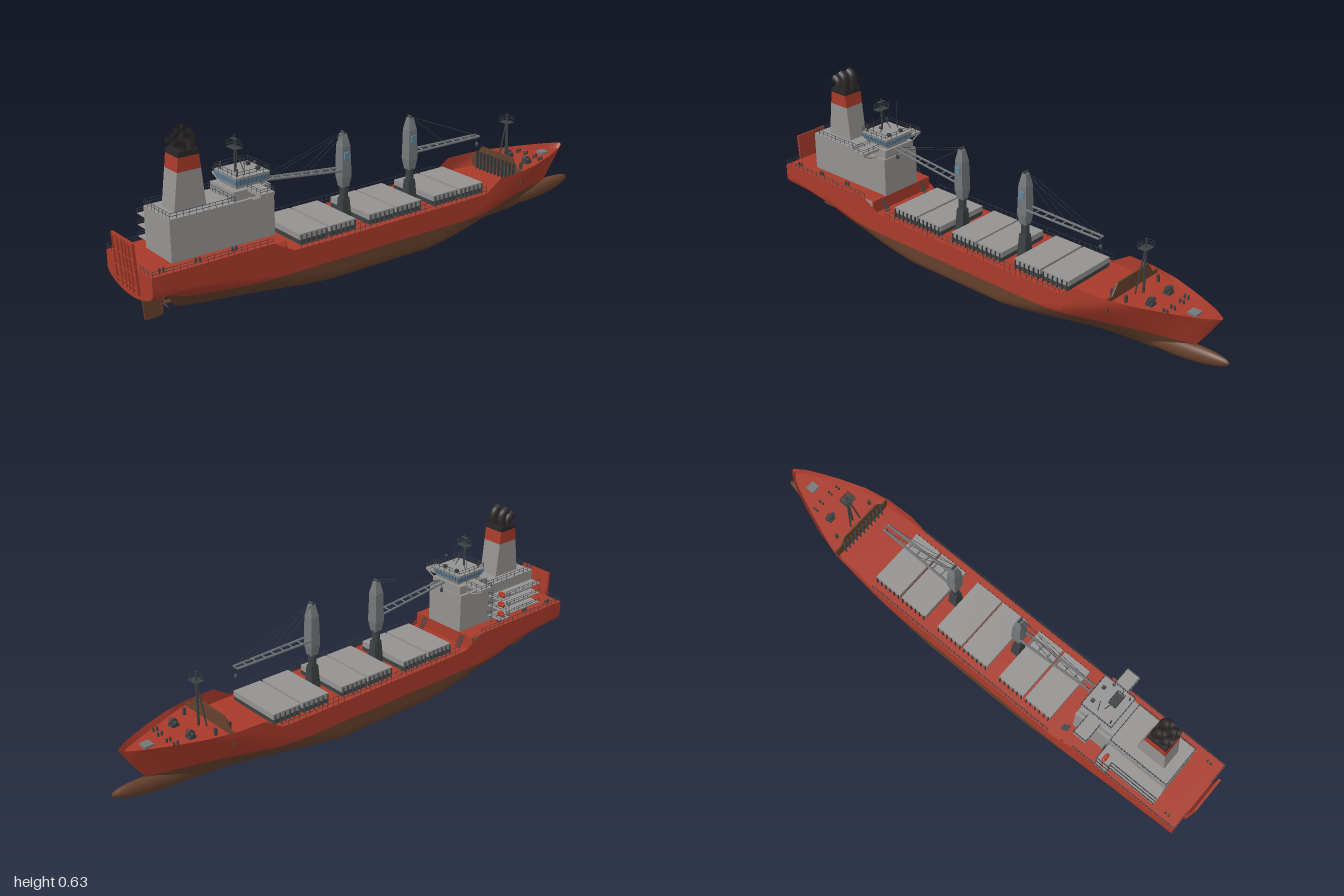
import * as THREE from 'three';
import { mergeGeometries } from 'three/addons/utils/BufferGeometryUtils.js';

const mat = (name, color, side = THREE.FrontSide) => {
  const m = new THREE.MeshStandardMaterial({ color, side });
  m.name = name;
  return m;
};
const V = (x, y, z) => new THREE.Vector3(x, y, z);

// hull stations, stern to bow: z, keel, sheer, half beam, knee height, fullness
const ST = [
  [0.98, 0.105, 0.215, 0.149, 0.155, 1.8], [0.9, 0.09, 0.215, 0.15, 0.145, 1.35],
  [0.86, 0.07, 0.215, 0.15, 0.14, 1.1], [0.82, 0.02, 0.215, 0.15, 0.135, 1.0],
  [0.72, 0.003, 0.215, 0.15, 0.125, 1.15], [0.53, 0.0, 0.215, 0.15, 0.095, 1.7],
  [0.45, 0.0, 0.17, 0.15, 0.08, 2.1], [0.28, 0.0, 0.168, 0.15, 0.055, 3.2],
  [-0.15, 0.0, 0.168, 0.15, 0.055, 3.2], [-0.3, 0.0, 0.168, 0.15, 0.085, 2.1],
  [-0.42, 0.0, 0.17, 0.15, 0.12, 1.6], [-0.49, 0.0, 0.215, 0.149, 0.15, 1.4],
  [-0.6, 0.002, 0.216, 0.145, 0.19, 1.15], [-0.7, 0.008, 0.217, 0.124, 0.217, 1.02],
  [-0.8, 0.03, 0.218, 0.088, 0.218, 0.92], [-0.87, 0.085, 0.219, 0.058, 0.219, 0.95],
  [-0.92, 0.155, 0.22, 0.034, 0.22, 1.1], [-0.96, 0.218, 0.22, 0.006, 0.22, 1.2],
];
const WATER = 0.09;
function station(z) {
  let i = 0;
  while (i < ST.length - 2 && z < ST[i + 1][0]) i++;
  const t = (z - ST[i][0]) / (ST[i + 1][0] - ST[i][0]);
  return ST[i].map((v, k) => v + (ST[i + 1][k] - v) * t);
}
function halfWidth(z, y) {
  const [, keel, , beam, knee, n] = station(z);
  const u = THREE.MathUtils.clamp((y - keel) / (knee - keel), 0, 1);
  return beam * Math.pow(1 - Math.pow(1 - u, n), 1 / n);
}
const ZS = [];
ST.forEach((s, i) => {
  if (i < ST.length - 1) for (let k = 0; k < 5; k++) ZS.push(s[0] + (ST[i + 1][0] - s[0]) * k / 5);
});
ZS.push(-0.96);

// one half of the plating, below or above the waterline
function plating(side, upper) {
  const M = 14, pos = [], idx = [];
  ZS.forEach((z, i) => {
    const [, keel, sheer] = station(z), w = Math.max(keel, WATER);
    const lo = upper ? w : keel, hi = upper ? Math.max(w, sheer) : w;
    for (let j = 0; j <= M; j++) {
      const y = lo + (hi - lo) * Math.pow(j / M, 2);
      pos.push(side * halfWidth(z, y), y, z);
      if (i && j) {
        const d = i * (M + 1) + j, c = d - 1, b = d - M - 1, a = b - 1;
        if (side > 0) idx.push(a, c, b, b, c, d); else idx.push(a, b, c, b, d, c);
      }
    }
  });
  const g = new THREE.BufferGeometry();
  g.setAttribute('position', new THREE.Float32BufferAttribute(pos, 3));
  g.setIndex(idx);
  g.computeVertexNormals();
  return g;
}
// flat deck following the hull outline
function deckGeo(z0, z1, y) {
  const zs = [z0, ...ZS.filter(z => z < z0 && z > z1), z1];
  const w = z => Math.max(halfWidth(z, y) - 0.0015, 0.0005);
  const pts = [...zs.map(z => new THREE.Vector2(w(z), -z)),
    ...zs.slice().reverse().map(z => new THREE.Vector2(-w(z), -z))];
  return new THREE.ShapeGeometry(new THREE.Shape(pts)).rotateX(-Math.PI / 2).translate(0, y, 0);
}
// box given by its limits, optionally with a different top rectangle
function block(x0, x1, y0, y1, z0, z1, top) {
  const g = new THREE.BoxGeometry(x1 - x0, y1 - y0, z1 - z0).translate((x0 + x1) / 2, (y0 + y1) / 2, (z0 + z1) / 2);
  if (top) {
    const p = g.attributes.position;
    for (let i = 0; i < p.count; i++) if (p.getY(i) > (y0 + y1) / 2) {
      p.setX(i, p.getX(i) < (x0 + x1) / 2 ? top[0] : top[1]);
      p.setZ(i, p.getZ(i) < (z0 + z1) / 2 ? top[2] : top[3]);
    }
    g.computeVertexNormals();
  }
  return g;
}
function rod(a, b, r, sides = 4, r2 = r) {
  const d = b.clone().sub(a);
  const g = new THREE.CylinderGeometry(r2, r, d.length(), sides);
  g.applyQuaternion(new THREE.Quaternion().setFromUnitVectors(V(0, 1, 0), d.normalize()));
  return g.translate((a.x + b.x) / 2, (a.y + b.y) / 2, (a.z + b.z) / 2);
}
// guard rail along a list of points
function rail(pts, h = 0.02) {
  const out = [], up = V(0, h, 0), r = 0.0009;
  for (let i = 1; i < pts.length; i++) {
    const a = pts[i - 1], b = pts[i], n = Math.max(1, Math.round(a.distanceTo(b) / 0.025));
    for (const f of [0.5, 1]) out.push(rod(a.clone().addScaledVector(up, f), b.clone().addScaledVector(up, f), r));
    for (let k = 0; k <= n; k++) { const p = a.clone().lerp(b, k / n); out.push(rod(p, p.clone().add(up), r)); }
  }
  return out;
}
const loop = (x0, x1, y, z0, z1) => rail([V(x0, y, z0), V(x1, y, z0), V(x1, y, z1), V(x0, y, z1), V(x0, y, z0)]);

export function createModel() {
  const root = new THREE.Group();
  root.name = 'cargoShip';
  const red = mat('hullRed', 0xa83a2a, THREE.DoubleSide), brown = mat('bottomBrown', 0x65402c, THREE.DoubleSide);
  const grey = mat('houseGrey', 0x949290), steel = mat('craneGrey', 0x74787a), dark = mat('fittingsDark', 0x3c4143);
  const black = mat('funnelBlack', 0x2a2626, THREE.DoubleSide), blue = mat('windowBlue', 0x5f86a3), boat = mat('boatRed', 0xb8351f);
  const add = (name, material, ...geos) => {
    const m = new THREE.Mesh(geos.length > 1 ? mergeGeometries(geos) : geos[0], material);
    m.name = name;
    root.add(m);
    return m;
  };

  // hull, transom and decks
  add('lowerHull', brown, plating(1, false), plating(-1, false));
  add('upperHull', red, plating(1, true), plating(-1, true));
  const tr = [];
  for (let j = 0; j <= 14; j++) { const y = 0.105 + 0.11 * (j / 14) ** 2; tr.push(new THREE.Vector2(halfWidth(0.98, y), y)); }
  const outline = [...tr, ...tr.slice(1).reverse().map(p => new THREE.Vector2(-p.x, p.y))];
  add('transom', red, new THREE.ShapeGeometry(new THREE.Shape(outline)).translate(0, 0, 0.98));
  add('decks', red, deckGeo(0.98, 0.48, 0.213), deckGeo(0.53, -0.61, 0.163), deckGeo(-0.61, -0.945, 0.2));
  add('poopFront', red, block(-0.149, 0.149, 0.163, 0.212, 0.48, 0.485));
  const bulb = new THREE.SphereGeometry(1, 24, 16).scale(0.024, 0.032, 0.17).rotateX(0.1).translate(0, 0.053, -0.831);
  add('bulbousBow', brown, bulb);
  add('rudder', brown, block(-0.004, 0.004, 0.004, 0.125, 0.875, 0.935, [-0.005, 0.005, 0.86, 0.945]));
  const blades = [rod(V(0, 0.045, 0.80), V(0, 0.045, 0.88), 0.009, 12, 0.006)];
  for (let k = 0; k < 4; k++) blades.push(new THREE.SphereGeometry(1, 10, 8).scale(0.012, 0.019, 0.002).rotateY(0.6)
    .translate(0, 0.023, 0).rotateZ(k * Math.PI / 2).translate(0, 0.045, 0.87));
  add('propeller', brown, ...blades);

  // stern ramp with stiffeners, leaning aft
  const ramp = [block(-0.069, 0.069, 0, 0.18, -0.004, 0)];
  for (const x of [-0.068, -0.036, -0.008, 0.015, 0.038, 0.068]) ramp.push(block(x - 0.0015, x + 0.0015, 0, 0.18, 0, 0.005));
  for (const y of [0.002, 0.02, 0.067, 0.12, 0.17, 0.178]) ramp.push(block(-0.069, 0.069, y - 0.0015, y + 0.0015, 0, 0.004));
  const rampMesh = add('sternRamp', red, ...ramp);
  rampMesh.position.set(0, 0.128, 0.983);
  rampMesh.rotation.x = 0.07;

  // hatch covers on ribbed coamings
  for (const [a, b] of [[-0.43, -0.315], [-0.305, -0.19], [-0.13, -0.015], [-0.007, 0.107], [0.165, 0.277], [0.287, 0.402]]) {
    add('hatchCover', grey, block(-0.113, 0.113, 0.182, 0.203, a, b));
    const parts = [block(-0.108, 0.108, 0.163, 0.182, a + 0.004, b - 0.004)];
    for (const s of [-1, 1]) for (let k = 0; k < 6; k++) {
      const z = a + 0.006 + (b - a - 0.012) * k / 5;
      parts.push(block(s * 0.115 - 0.004, s * 0.115 + 0.004, 0.163, 0.2, z - 0.0012, z + 0.0012));
    }
    add('hatchCoaming', dark, ...parts);
  }

  // accommodation block and side galleries
  add('deckHouse', grey, block(-0.083, 0.083, 0.212, 0.36, 0.48, 0.872), block(-0.072, 0.072, 0.36, 0.392, 0.485, 0.63));
  add('bridgeWings', grey, block(-0.149, 0.149, 0.384, 0.394, 0.52, 0.575));
  const struts = [];
  for (const s of [-1, 1]) for (const z of [0.525, 0.57]) struts.push(
    rod(V(s * 0.146, 0.384, z), V(s * 0.105, 0.364, z), 0.003), rod(V(s * 0.105, 0.364, z), V(s * 0.07, 0.362, z), 0.003));
  add('wingStruts', grey, ...struts);
  const galleryRails = [];
  for (const y of [0.24, 0.28, 0.32]) {
    add('sideGallery', grey, block(-0.13, -0.083, y - 0.003, y, 0.64, 0.872), block(-0.15, -0.083, y - 0.003, y, 0.63, 0.68));
    galleryRails.push(...rail([V(-0.13, y, 0.872), V(-0.13, y, 0.68), V(-0.15, y, 0.68), V(-0.15, y, 0.63), V(-0.083, y, 0.63)], 0.015));
    add('lifeboat', boat, new THREE.CapsuleGeometry(0.008, 0.018, 4, 10).rotateZ(Math.PI / 2).translate(-0.13, y + 0.011, 0.653),
      block(-0.14, -0.12, y + 0.012, y + 0.021, 0.647, 0.659));
  }
  for (let y = 0.22; y < 0.36; y += 0.01) galleryRails.push(block(-0.112, -0.098, y, y + 0.001, 0.625, 0.628));
  add('galleryRails', dark, ...galleryRails);

  // wheelhouse with a flared window band
  add('wheelhouse', grey, block(-0.05, 0.05, 0.39, 0.434, 0.495, 0.605, [-0.068, 0.068, 0.482, 0.615]));
  add('bridgeWindows', blue, block(-0.058, 0.058, 0.405, 0.426, 0.489, 0.609, [-0.0665, 0.0665, 0.4825, 0.6145]));
  const mullions = [];
  for (let k = 0; k <= 8; k++) {
    const f = k / 4 - 1;
    mullions.push(rod(V(f * 0.058, 0.405, 0.4885), V(f * 0.0665, 0.426, 0.482), 0.001));
    for (const s of [-1, 1]) mullions.push(rod(V(s * 0.0585, 0.405, 0.549 + f * 0.06), V(s * 0.067, 0.426, 0.5485 + f * 0.066), 0.001));
  }
  add('windowFrames', dark, ...mullions);

  // bridge mast, antennas and roof fittings
  const mast = [rod(V(0, 0.434, 0.575), V(0, 0.56, 0.575), 0.004, 8, 0.002), rod(V(-0.045, 0.434, 0.54), V(-0.045, 0.545, 0.54), 0.0014),
    block(-0.025, 0.025, 0.515, 0.518, 0.56, 0.59), block(-0.015, 0.015, 0.545, 0.547, 0.568, 0.582),
    rod(V(0.048, 0.434, 0.57), V(0.048, 0.495, 0.57), 0.0014), new THREE.SphereGeometry(0.006, 8, 6).translate(0.05, 0.47, 0.53)];
  for (const s of [-1, 1]) mast.push(rod(V(s * 0.025, 0.434, 0.555), V(0, 0.515, 0.575), 0.0015),
    rod(V(s * 0.052, 0.434, 0.6), V(s * 0.052, 0.46, 0.6), 0.003, 6), block(s * 0.03 - 0.006, s * 0.03 + 0.006, 0.434, 0.445, 0.5, 0.512));
  add('bridgeMast', dark, ...mast, ...loop(-0.025, 0.025, 0.518, 0.56, 0.59));

  // funnel and exhaust elbows
  const fz = y => { const t = (y - 0.36) / 0.195; return [0.712 + 0.02 * t, 0.83 - 0.025 * t]; };
  for (const [name, m, a, b] of [['funnel', grey, 0.36, 0.49], ['funnelBand', red, 0.49, 0.538], ['funnelTop', black, 0.538, 0.556]])
    add(name, m, block(-0.04, 0.04, a, b, ...fz(a), [-0.04, 0.04, ...fz(b)]));
  for (const x of [-0.02, 0.02]) for (const [z, h] of [[0.782, 0.575], [0.749, 0.598]]) {
    const path = new THREE.CatmullRomCurve3([V(x, 0.55, z), V(x, h - 0.01, z), V(x, h + 0.006, z + 0.006), V(x, h + 0.016, z + 0.024)]);
    add('exhaustPipe', black, new THREE.TubeGeometry(path, 14, 0.0165, 16));
  }

  // two deck cranes, jibs pointing aft and forward
  const CX = 0.017;
  for (const [z, s, tipZ, tipY] of [[0.145, 1, 0.478, 0.39], [-0.155, -1, -0.485, 0.35]]) {
    add('cranePedestal', dark, block(CX - 0.02, CX + 0.02, 0.163, 0.25, z - 0.02, z + 0.02, [CX - 0.014, CX + 0.014, z - 0.015, z + 0.015]),
      rod(V(CX, 0.25, z), V(CX, 0.3, z), 0.015, 12));
    add('craneTower', steel, block(CX - 0.014, CX + 0.014, 0.29, 0.33, z - 0.014, z + 0.014, [CX - 0.021, CX + 0.021, z - 0.02, z + 0.02]),
      block(CX - 0.021, CX + 0.021, 0.33, 0.44, z - 0.02, z + 0.02, [CX - 0.019, CX + 0.019, z - 0.017, z + 0.017]),
      block(CX - 0.019, CX + 0.019, 0.44, 0.485, z - 0.017, z + 0.017, [CX - 0.009, CX + 0.009, z - 0.009, z + 0.009]));
    add('craneCabWindow', blue, block(CX + 0.019, CX + 0.024, 0.395, 0.42, z - 0.011, z + 0.011));
    const jib = [], foot = V(CX, 0.355, z + s * 0.015), tip = V(CX, tipY, tipZ);
    const at = (t, side) => foot.clone().lerp(tip, t).add(V(side * (0.018 - 0.006 * t), 0, 0));
    for (const e of [-1, 1]) jib.push(rod(at(0, e), at(1, e), 0.005));
    for (let k = 1; k <= 8; k++) jib.push(rod(at(k / 8, -1), at(k / 8, 1), 0.003));
    add('craneJib', steel, ...jib);
    const wires = [rod(tip, V(CX, tipY - 0.035, tipZ), 0.0008), new THREE.SphereGeometry(0.007, 8, 6).scale(1, 1.5, 1).translate(CX, tipY - 0.035, tipZ)];
    for (const e of [-1, 1]) wires.push(rod(V(CX + e * 0.008, 0.487, z), at(1, e), 0.0008), rod(V(CX + e * 0.008, 0.487, z), at(0.5, e), 0.0008));
    wires.push(rod(V(CX - 0.01, 0.488, z), V(CX + 0.01, 0.488, z), 0.005, 8));
    add('craneWires', dark, ...wires);
  }

  // breakwater with ribs ahead of the cargo deck
  const ribs = [];
  add('breakwater', brown, block(-0.14, 0.14, 0.163, 0.215, -0.612, -0.606), block(-0.112, 0.112, 0.215, 0.255, -0.612, -0.606, [-0.085, 0.085, -0.612, -0.606]));
  for (let k = 0; k < 11; k++) { const x = -0.1 + k * 0.02; ribs.push(block(x - 0.0015, x + 0.0015, 0.163, 0.235, -0.606, -0.594)); }
  add('breakwaterRibs', dark, ...ribs);

  // foremast tripod with lookout
  const fore = [rod(V(0, 0.2, -0.655), V(0, 0.4, -0.655), 0.005, 8, 0.003), block(-0.022, 0.022, 0.365, 0.368, -0.672, -0.638)];
  for (const e of [-1, 1]) fore.push(rod(V(e * 0.025, 0.2, -0.64), V(e * 0.004, 0.36, -0.655), 0.003, 6));
  add('foremast', dark, ...fore, ...loop(-0.022, 0.022, 0.368, -0.672, -0.638));

  // windlasses, bollards and vents
  const gear = [];
  for (const e of [-1, 1]) {
    gear.push(rod(V(e * 0.03, 0.215, -0.72), V(e * 0.068, 0.215, -0.72), 0.007, 10), rod(V(e * 0.045, 0.215, -0.72), V(e * 0.055, 0.215, -0.72), 0.013, 12),
      block(e * 0.05 - 0.014, e * 0.05 + 0.014, 0.2, 0.21, -0.733, -0.707), rod(V(e * 0.09, 0.2, -0.65), V(e * 0.09, 0.225, -0.65), 0.006, 8));
    for (const [x, z, y] of [[0.06, -0.785, 0.2], [0.025, -0.79, 0.2], [0.12, 0.93, 0.213], [0.12, 0.8, 0.213], [0.115, 0.66, 0.213]])
      for (const d of [-0.007, 0.007]) gear.push(rod(V(e * x, y, z + d), V(e * x, y + 0.014, z + d), 0.004, 8));
    for (let k = 0; k < 7; k++) gear.push(block(e * 0.1 - 0.012, e * 0.1 + 0.012, 0.168 + k * 0.007, 0.17 + k * 0.007, 0.45 + k * 0.005, 0.456 + k * 0.005));
  }
  add('deckGear', dark, ...gear);
  add('foreHatch', steel, block(-0.018, 0.018, 0.2, 0.208, -0.875, -0.84));

  // guard rails
  const rails = [...rail([V(0.07, 0.213, 0.977), V(0.147, 0.213, 0.977), V(0.147, 0.213, 0.53)]),
    ...rail([V(-0.07, 0.213, 0.977), V(-0.147, 0.213, 0.977), V(-0.147, 0.213, 0.53)]),
    ...loop(-0.082, 0.082, 0.36, 0.63, 0.87), ...loop(-0.067, 0.067, 0.434, 0.484, 0.613)];
  for (const e of [-1, 1]) rails.push(...rail([V(e * 0.147, 0.163, 0.42), V(e * 0.147, 0.163, -0.42)], 0.035),
    ...rail([V(e * 0.07, 0.394, 0.521), V(e * 0.148, 0.394, 0.521), V(e * 0.148, 0.394, 0.574), V(e * 0.07, 0.394, 0.574)], 0.016));
  add('guardRails', dark, ...rails);
  return root;
}
